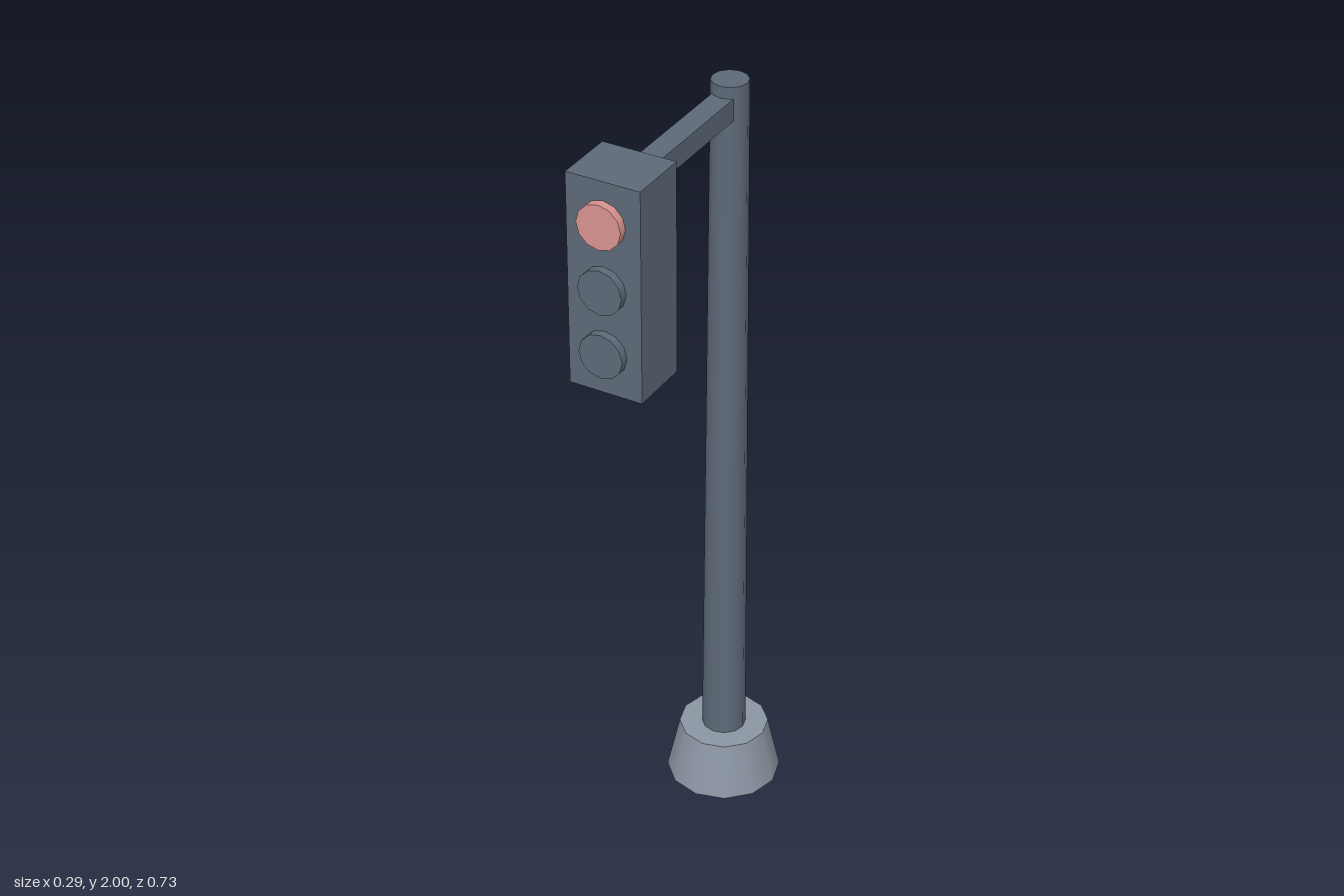
import * as THREE from 'three';

export function createModel() {
  const model = new THREE.Group();
  const mat = (name, color) => {
    const m = new THREE.MeshStandardMaterial({ color });
    m.name = name;
    return m;
  };
  const darkMetal = mat('darkMetal', 0x5e6a79);
  const lightMetal = mat('lightMetal', 0x8c96a4);
  const redGlass = mat('redGlass', 0xda9491);

  const add = (name, geometry, material, x, y, z) => {
    const mesh = new THREE.Mesh(geometry, material);
    mesh.name = name;
    mesh.position.set(x, y, z);
    model.add(mesh);
    return mesh;
  };

  const poleZ = -0.218;

  // Tapered foot and pole
  add('base', new THREE.CylinderGeometry(0.114, 0.146, 0.145, 12), lightMetal, 0, 0.0725, poleZ);
  add('pole', new THREE.CylinderGeometry(0.045, 0.056, 1.855, 12), darkMetal, 0, 1.0675, poleZ);

  // Arm reaching forward to the signal housing
  add('arm', new THREE.BoxGeometry(0.056, 0.056, 0.4), darkMetal, 0, 1.938, -0.01);
  add('housing', new THREE.BoxGeometry(0.186, 0.533, 0.155), darkMetal, 0, 1.7335, 0.2645);

  // Three lamps, only the top one lit
  const lampGeometry = new THREE.CylinderGeometry(0.056, 0.056, 0.022, 12).rotateX(Math.PI / 2);
  [['topLamp', 1.898, redGlass], ['middleLamp', 1.735, darkMetal], ['bottomLamp', 1.572, darkMetal]]
    .forEach(([name, y, material]) => add(name, lampGeometry, material, 0, y, 0.352));

  return model;
}
